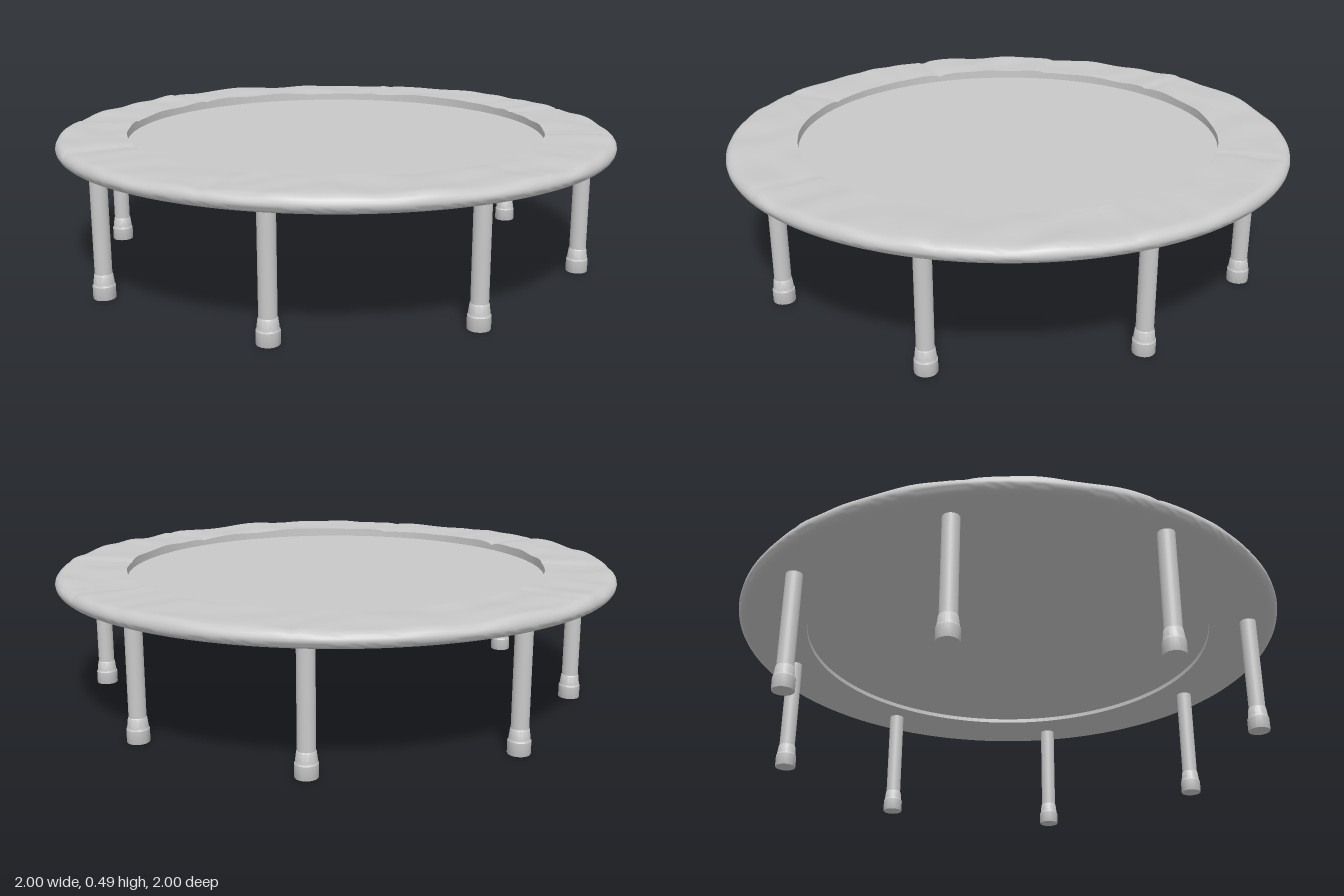
import * as THREE from 'three';
import { toCreasedNormals } from 'three/addons/utils/BufferGeometryUtils.js';

const INNER = 0.753, BOTTOM = 0.43, TOP = 0.487;

// Angles (degrees, from +x towards +z) of the stitched seams across the pad
const SEAMS = [-4, 38, 101, 141, 176, 212, 272, 322].map(THREE.MathUtils.degToRad);

// Height of the soft wrinkles on the pad cover
function wrinkle(x, z) {
  const a = Math.atan2(z, x), r = Math.hypot(x, z);
  let h = 0.0025 * Math.sin(5 * a + 1.1)
    + 0.0022 * Math.sin(17 * a + 9 * r)
    + 0.0018 * Math.sin(23 * x - 13 * z + 2 * Math.sin(9 * z))
    + 0.0015 * Math.sin(31 * z + 17 * x + 2 * Math.sin(11 * x));
  for (const s of SEAMS) {
    const d = Math.atan2(Math.sin(a - s), Math.cos(a - s));
    h -= 0.007 * Math.exp(-((d / 0.014) ** 2));
  }
  return h;
}

// Padded ring: closed section revolved, then wrinkled on its upper side
function padGeometry() {
  const profile = [[INNER, BOTTOM], [0.86, BOTTOM], [0.965, BOTTOM]];
  const mid = (BOTTOM + TOP) / 2, half = (TOP - BOTTOM) / 2;
  for (let i = 1; i < 10; i++) {
    const t = -Math.PI / 2 + (i / 10) * Math.PI;
    profile.push([0.965 + 0.035 * Math.cos(t), mid + half * Math.sin(t)]);
  }
  for (let i = 0; i <= 10; i++) profile.push([0.965 - (0.965 - INNER) * i / 10, TOP]);
  profile.push([INNER, BOTTOM]);
  const geo = new THREE.LatheGeometry(profile.map(([r, y]) => new THREE.Vector2(r, y)), 240);
  const p = geo.attributes.position;
  for (let i = 0; i < p.count; i++) {
    const y = p.getY(i);
    const weight = THREE.MathUtils.smoothstep(y, mid, TOP);
    p.setY(i, y + weight * wrinkle(p.getX(i), p.getZ(i)));
  }
  return toCreasedNormals(geo, 0.8);
}

// Tubular leg
function legGeometry() {
  return new THREE.CylinderGeometry(0.029, 0.029, 0.39, 24).translate(0, 0.245, 0);
}

// Rubber foot: wide cap with a tapering sleeve
function footGeometry() {
  const profile = [[0, 0], [0.037, 0], [0.038, 0.003], [0.038, 0.045], [0.035, 0.05], [0.034, 0.06],
    [0.031, 0.083], [0.029, 0.086]].map(([r, y]) => new THREE.Vector2(r, y));
  return toCreasedNormals(new THREE.LatheGeometry(profile, 24), 0.5);
}

export function createModel() {
  const model = new THREE.Group();
  model.name = 'trampoline';
  const grey = new THREE.MeshStandardMaterial({ color: 0xc8c8c8 });
  grey.name = 'grey';

  const add = (parent, name, geometry) => {
    const mesh = new THREE.Mesh(geometry, grey);
    mesh.name = name;
    parent.add(mesh);
    return mesh;
  };

  add(model, 'edgePad', padGeometry());

  // Jumping mat, sunk below the pad
  add(model, 'jumpingMat', new THREE.CylinderGeometry(INNER + 0.01, INNER + 0.01, 0.012, 120)).position.y = 0.452;

  // Eight legs in a ring
  const legGeo = legGeometry(), footGeo = footGeometry();
  const spots = [[0.888, 0], [0.6, 0.63], [0, 0.892], [-0.645, 0.64],
    [-0.866, 0], [-0.645, -0.6], [0, -0.86], [0.585, -0.62]];
  spots.forEach(([x, z], i) => {
    const leg = new THREE.Group();
    leg.name = `leg${i + 1}`;
    leg.position.set(x, 0, z);
    add(leg, 'legTube', legGeo);
    add(leg, 'rubberFoot', footGeo);
    model.add(leg);
  });
  return model;
}
